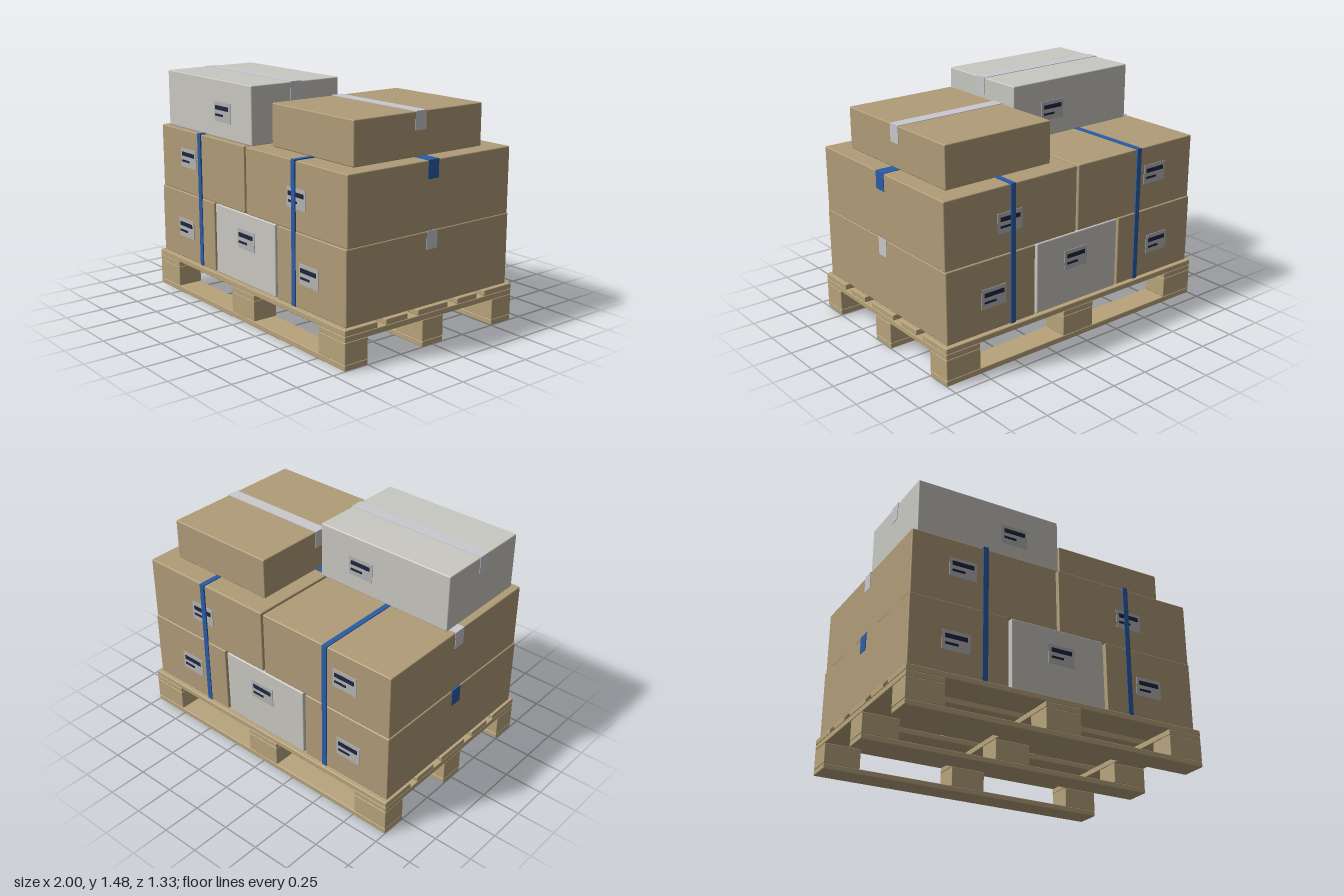
import * as THREE from 'three';
import { RoundedBoxGeometry } from 'three/addons/geometries/RoundedBoxGeometry.js';

const paint = (color) => new THREE.MeshStandardMaterial({ color });
const wood = paint(0xb8a47c);
const card = paint(0xb19c78);
const paleCard = paint(0xc9c8c2);
const clearTape = paint(0xc9cacf);
const blue = paint(0x2a5ca8);
const paper = paint(0xb4b4b4);
const ink = paint(0x1e2640);

// Box given by its extents on each axis; a radius softens its edges
function block(name, material, [x0, x1], [y0, y1], [z0, z1], radius = 0) {
  const size = [x1 - x0, y1 - y0, z1 - z0];
  const geometry = radius
    ? new RoundedBoxGeometry(...size, 2, radius)
    : new THREE.BoxGeometry(...size);
  const mesh = new THREE.Mesh(geometry, material);
  mesh.name = name;
  mesh.position.set((x0 + x1) / 2, (y0 + y1) / 2, (z0 + z1) / 2);
  return mesh;
}

function createPallet() {
  const pallet = new THREE.Group();
  pallet.name = 'pallet';
  const columns = [[-1, -0.76], [-0.12, 0.12], [0.76, 1]];
  const rows = [[-0.667, -0.5], [-0.083, 0.083], [0.5, 0.667]];
  const deck = [[-0.667, -0.43], [-0.365, -0.2], [-0.12, 0.12], [0.2, 0.365], [0.43, 0.667]];
  for (const z of rows) {
    pallet.add(block('bottomBoard', wood, [-1, 1], [0, 0.036], z, 0.005));
    for (const x of columns) pallet.add(block('palletBlock', wood, x, [0.036, 0.168], z, 0.005));
  }
  for (const x of columns) pallet.add(block('crossBoard', wood, x, [0.168, 0.204], [-0.667, 0.667], 0.005));
  for (const z of deck) pallet.add(block('deckBoard', wood, [-1, 1], [0.204, 0.24], z, 0.005));
  return pallet;
}

// Paper label with a long and a short printed bar, facing +z
function createLabel() {
  const label = new THREE.Group();
  label.name = 'label';
  label.add(
    block('labelPaper', paper, [-0.09, 0.09], [-0.062, 0.062], [-0.002, 0.004]),
    block('longBar', ink, [-0.071, 0.071], [0.012, 0.038], [0.003, 0.009]),
    block('shortBar', ink, [-0.071, 0.012], [-0.028, -0.015], [0.003, 0.009]),
  );
  return label;
}

// Carton with tape along its top and down both ends, and labels front and back
function createCarton({ name, material, tape, x, y, z, label }) {
  const carton = new THREE.Group();
  carton.name = name;
  carton.add(block('cartonBody', material, x, y, z, 0.007));
  const mid = (z[0] + z[1]) / 2;
  const strip = [mid - 0.041, mid + 0.041];
  const t = 0.003;
  const drop = [y[1] - 0.11, y[1] + t];
  carton.add(
    block('topTape', tape, [x[0] - t, x[1] + t], [y[1] - t, y[1] + t], strip),
    block('endTape', tape, [x[0] - t, x[0] + t], drop, strip),
    block('endTape', tape, [x[1] - t, x[1] + t], drop, strip),
  );
  if (label) {
    const front = createLabel();
    front.position.set(label[0], label[1], z[1]);
    const back = createLabel();
    back.position.set(label[0], label[1], z[0]);
    back.rotation.y = Math.PI;
    carton.add(front, back);
  }
  return carton;
}

// Strap running up the front, over the load and down the back
function createStrap(x) {
  const strap = new THREE.Group();
  strap.name = 'strap';
  const width = [x - 0.017, x + 0.017];
  strap.add(
    block('strapFront', blue, width, [0.24, 1.116], [0.637, 0.646]),
    block('strapBack', blue, width, [0.24, 1.116], [-0.646, -0.637]),
    block('strapTop', blue, width, [1.108, 1.116], [-0.646, 0.646]),
  );
  return strap;
}

export function createModel() {
  const model = new THREE.Group();
  model.name = 'loadedPallet';
  model.add(createPallet());

  const low = { y: [0.24, 0.692], z: [-0.64, 0.64] };
  const high = { y: [0.692, 1.11], z: [-0.633, 0.633] };
  const cartons = [
    { name: 'lowerRightCarton', material: card, tape: blue, x: [-0.985, -0.347], ...low, label: [-0.688, 0.449] },
    { name: 'lowerMiddleCarton', material: paleCard, tape: clearTape, x: [-0.33, 0.313], ...low, label: [0.01, 0.527] },
    { name: 'lowerLeftCarton', material: card, tape: clearTape, x: [0.33, 0.975], ...low, label: [0.64, 0.453] },
    { name: 'upperRightCarton', material: card, tape: clearTape, x: [-0.98, -0.01], ...high, label: [-0.65, 0.927] },
    { name: 'upperLeftCarton', material: card, tape: blue, x: [0.005, 0.975], ...high, label: [0.517, 0.888] },
    { name: 'topPaleCarton', material: paleCard, tape: clearTape,
      x: [-0.935, 0.028], y: [1.11, 1.476], z: [-0.066, 0.6], label: [-0.287, 1.277] },
    { name: 'topCarton', material: card, tape: clearTape,
      x: [0.1, 0.864], y: [1.11, 1.376], z: [-0.498, 0.5] },
  ];
  for (const carton of cartons) model.add(createCarton(carton));
  for (const x of [-0.503, 0.498]) model.add(createStrap(x));
  return model;
}
